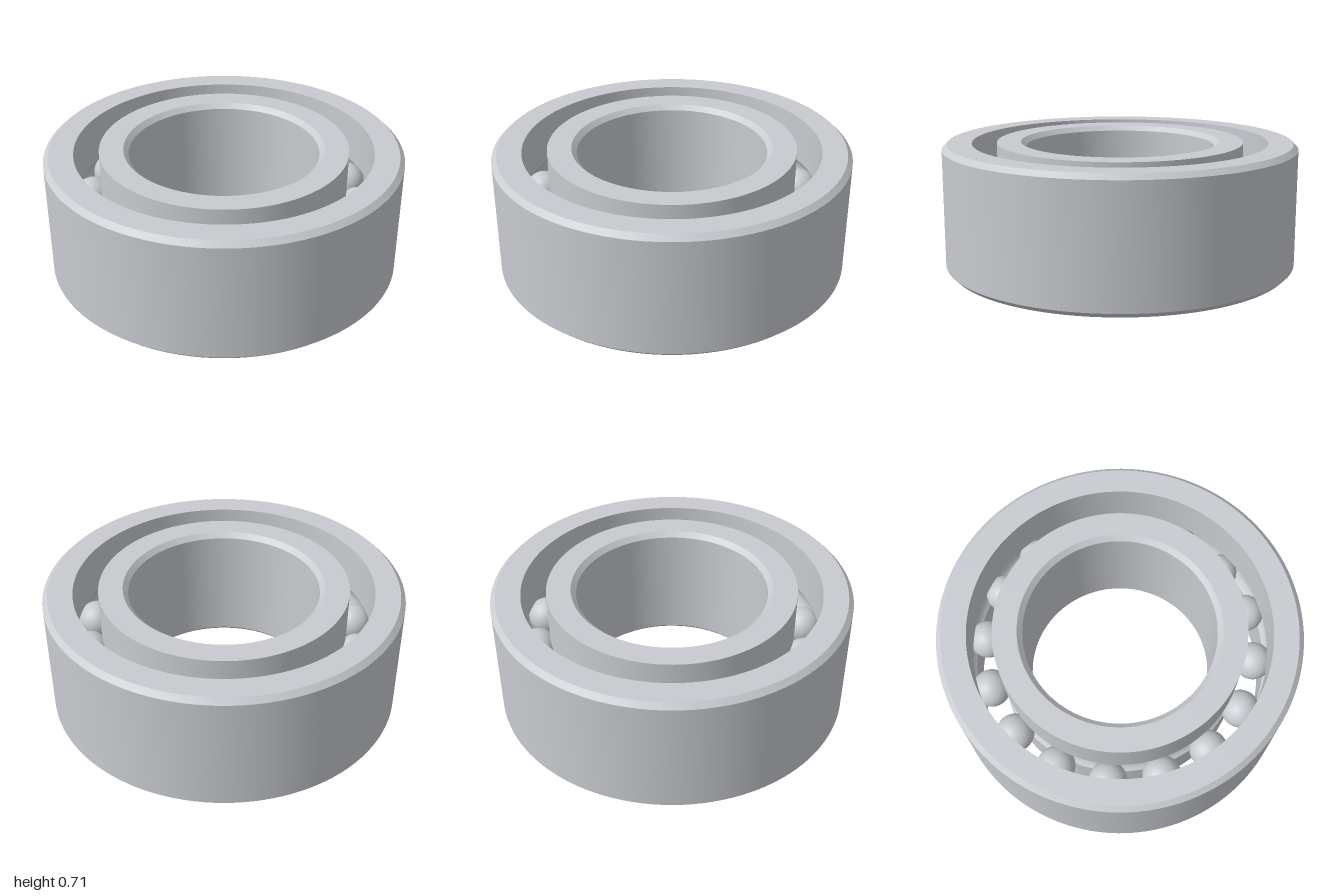
import * as THREE from 'three';
import { toCreasedNormals } from 'three/addons/utils/BufferGeometryUtils.js';

const HEIGHT = 0.714, MID = HEIGHT / 2, CHAMFER = 0.028;
const OUTER_R = 1, OUTER_GAP_R = 0.834, INNER_GAP_R = 0.695, BORE_R = 0.532;
const PITCH_R = (OUTER_GAP_R + INNER_GAP_R) / 2, BALL_R = 0.107, BALLS = 16;

// Groove arc that hugs the balls; side +1 cuts the outer ring, -1 the inner ring
function groove(side) {
  const half = Math.acos((OUTER_GAP_R - PITCH_R) / BALL_R);
  const points = [];
  for (let i = 0; i <= 12; i++) {
    // outer ring runs downwards, inner ring upwards
    const a = side * half * (1 - i / 6);
    points.push([PITCH_R + side * BALL_R * Math.cos(a), MID + BALL_R * Math.sin(a)]);
  }
  return points;
}

// Revolve a closed profile, keeping chamfer and groove edges sharp
function ring(name, profile, material) {
  const points = [...profile, profile[0]].map(([x, y]) => new THREE.Vector2(x, y));
  const mesh = new THREE.Mesh(toCreasedNormals(new THREE.LatheGeometry(points, 120), 0.5), material);
  mesh.name = name;
  return mesh;
}

export function createModel() {
  const steel = new THREE.MeshStandardMaterial({ color: 0xc8cbd0 });
  steel.name = 'steel';
  const model = new THREE.Group();
  model.name = 'ballBearing';

  // Outer ring: chamfered outside, grooved inside
  model.add(ring('outerRing', [
    [OUTER_R - CHAMFER, 0], [OUTER_R, CHAMFER],
    [OUTER_R, HEIGHT - CHAMFER], [OUTER_R - CHAMFER, HEIGHT],
    [OUTER_GAP_R, HEIGHT], ...groove(1), [OUTER_GAP_R, 0],
  ], steel));

  // Inner ring: grooved outside, chamfered bore
  model.add(ring('innerRing', [
    [INNER_GAP_R, 0], ...groove(-1), [INNER_GAP_R, HEIGHT],
    [BORE_R + CHAMFER, HEIGHT], [BORE_R, HEIGHT - CHAMFER],
    [BORE_R, CHAMFER], [BORE_R + CHAMFER, 0],
  ], steel));

  // Balls spaced evenly around the race
  const balls = new THREE.Group();
  balls.name = 'balls';
  const ballGeometry = new THREE.SphereGeometry(BALL_R, 32, 20);
  for (let i = 0; i < BALLS; i++) {
    const a = (i / BALLS) * Math.PI * 2;
    const ball = new THREE.Mesh(ballGeometry, steel);
    ball.name = 'ball';
    ball.position.set(PITCH_R * Math.cos(a), MID, PITCH_R * Math.sin(a));
    balls.add(ball);
  }
  model.add(balls);
  return model;
}
